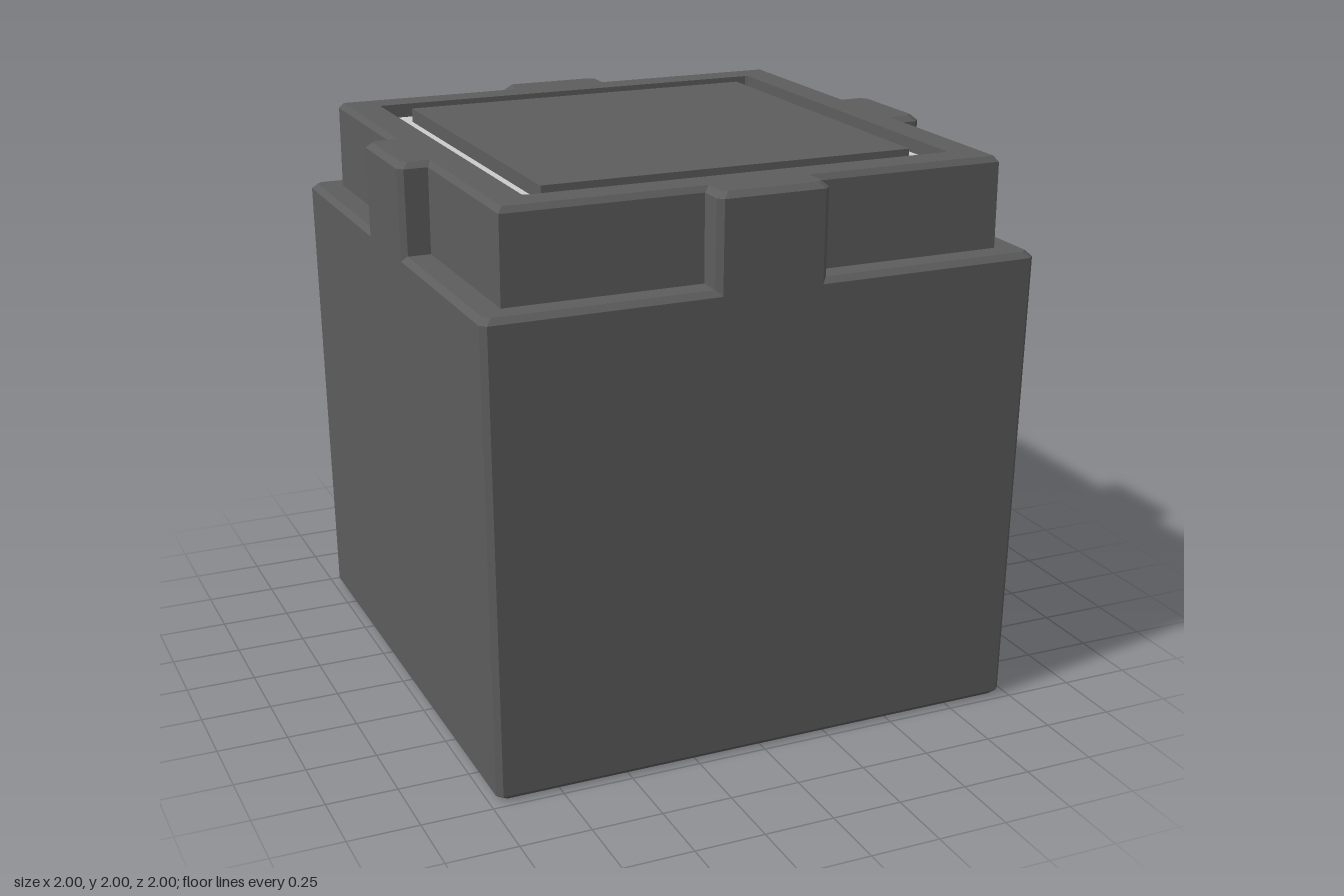
import * as THREE from 'three';
import { mergeGeometries } from 'three/addons/utils/BufferGeometryUtils.js';

const dark = new THREE.MeshStandardMaterial({ color: 0x5d5d5d });
const light = new THREE.MeshStandardMaterial({ color: 0xcccccc });
const BEVEL = 0.02;

// Repeats one side's outline points around all four sides, anticlockwise.
function fourSides(side) {
  const points = [];
  let quarter = side;
  for (let i = 0; i < 4; i++) {
    points.push(...quarter);
    quarter = quarter.map(([x, y]) => [-y, x]);
  }
  return points;
}

const square = (h, c) => fourSides([[h, -h + c], [h, h - c]]);

// Square rim with a bevelled tab in the middle of each side.
const tabbed = (rim, out, half) => fourSides([
  [rim, -half], [out - BEVEL, -half], [out, -half + BEVEL],
  [out, half - BEVEL], [out - BEVEL, half], [rim, half], [rim, rim],
]);

// Flat-faced walls between stacked outlines; each layer is [height, outline].
function walls(layers) {
  const pos = [];
  for (let k = 0; k < layers.length - 1; k++) {
    const [z0, p] = layers[k];
    const [z1, q] = layers[k + 1];
    p.forEach((a, i) => {
      const j = (i + 1) % p.length;
      const a0 = [...a, z0], b0 = [...p[j], z0];
      const a1 = [...q[i], z1], b1 = [...q[j], z1];
      pos.push(...a0, ...b0, ...b1, ...a0, ...b1, ...a1);
    });
  }
  const g = new THREE.BufferGeometry();
  g.setAttribute('position', new THREE.Float32BufferAttribute(pos, 3));
  g.computeVertexNormals();
  return g;
}

// Flat cap at a height, optionally with a hole or facing down.
function cap(outline, height, hole, down = false) {
  const vec = (pts) => pts.map(([x, y]) => new THREE.Vector2(x, y));
  const shape = new THREE.Shape(vec(outline));
  if (hole) shape.holes.push(new THREE.Path(vec(hole)));
  let g = new THREE.ShapeGeometry(shape);
  if (down) g.rotateX(Math.PI);
  g.translate(0, 0, height);
  g = g.toNonIndexed();
  g.deleteAttribute('uv');
  return g;
}

function part(name, parts, material) {
  const g = mergeGeometries(parts);
  g.rotateX(-Math.PI / 2);
  const mesh = new THREE.Mesh(g, material);
  mesh.name = name;
  return mesh;
}

export function createModel() {
  const group = new THREE.Group();
  group.name = 'crate';

  // Tapered body with bevelled edges and a shelf on top
  const foot = square(0.955, BEVEL);
  const shelf = square(0.977, BEVEL);
  group.add(part('body', [
    cap(foot, 0, null, true),
    walls([[0, foot], [0.02, square(0.975, BEVEL)], [1.66, square(0.996, BEVEL)], [1.68, shelf]]),
    cap(shelf, 1.68),
  ], dark));

  // Stepped rim with four side tabs and a square recess
  const rimTop = tabbed(0.88, 0.98, 0.18);
  const recess = square(0.77, 0.01);
  const inward = [...recess].reverse();
  group.add(part('rim', [
    walls([[1.66, tabbed(0.895, 0.996, 0.2)], [1.98, tabbed(0.895, 1, 0.2)], [2, rimTop]]),
    cap(rimTop, 2, recess),
    walls([[1.95, inward], [2, inward]]),
  ], dark));

  // Pale floor of the recess, seen as a band around the panel
  group.add(part('recessFloor', [cap(square(0.77, 0.01), 1.95)], light));

  // Raised centre panel, level with the rim
  const panel = square(0.675, 0.002);
  group.add(part('centrePanel', [walls([[1.95, panel], [2, panel]]), cap(panel, 2)], dark));

  return group;
}
